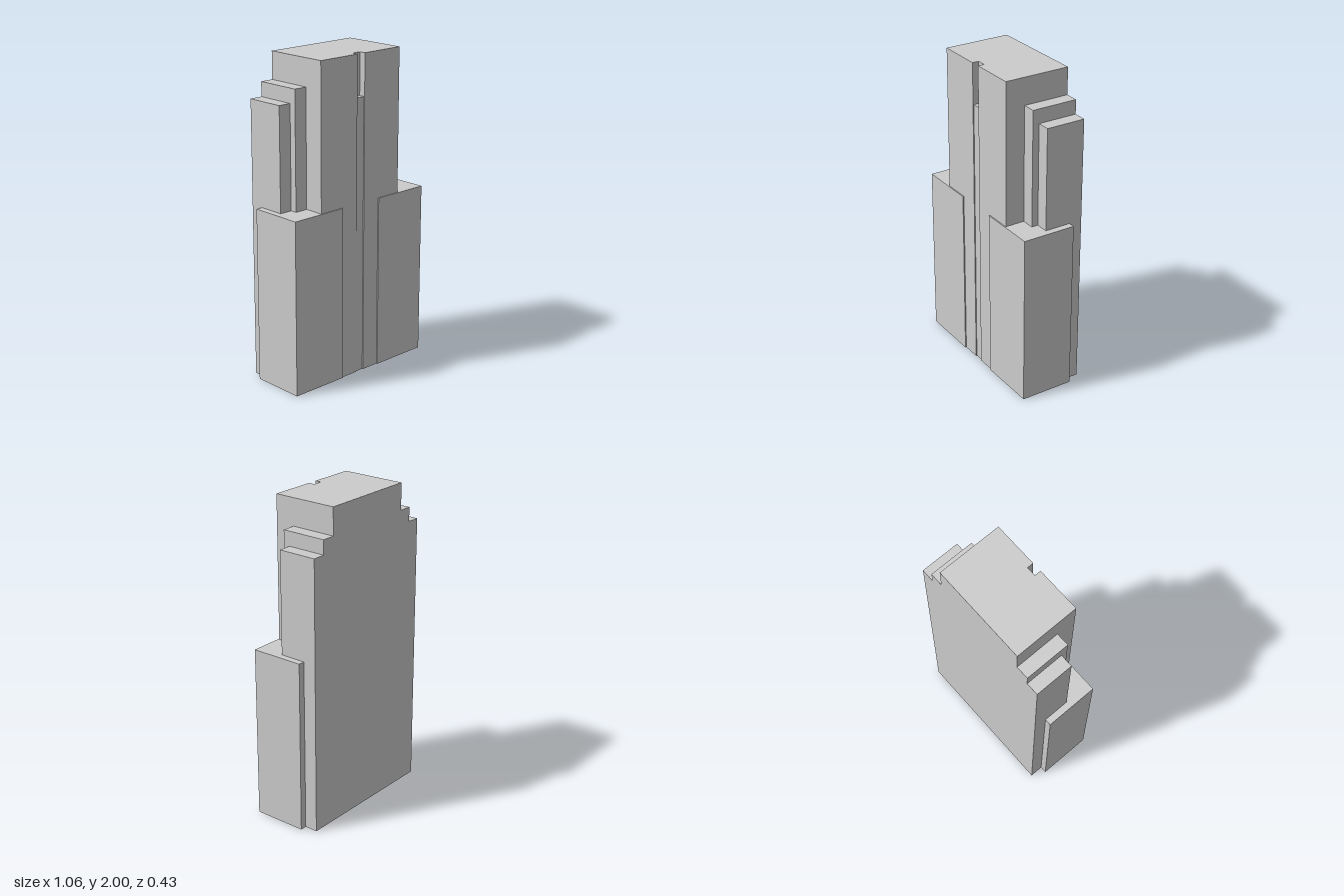
import * as THREE from 'three';

const material = new THREE.MeshStandardMaterial({ color: 0xcccccc, side: THREE.DoubleSide });

// Heights of the setbacks
const BASE = 1.095, OUTER = 1.74, INNER = 1.83, TOP = 2;
// Depths, back to front
const BACK = -0.214, WING_BACK = -0.13, OUTER_Z = 0.038, INNER_Z = 0.08;
const SLOT_Z = 0.165, PANEL_Z = 0.2, FRONT = 0.206, WING_FRONT = 0.213;
// Half widths
const SLOT = 0.03, BAY = 0.15, TOWER = 0.32, INNER_X = 0.405, OUTER_X = 0.488, WING = 0.53;

const mirror = (points) => points.map(([x, z]) => [-x, z]).reverse();

// Upright walls around a half plan (+x side, back to front) and its mirror
function walls(name, half, y0, y1) {
  const plan = [...half, ...mirror(half)];
  const pos = [];
  plan.forEach(([ax, az], i) => {
    const [bx, bz] = plan[(i + 1) % plan.length];
    pos.push(ax, y0, az, ax, y1, az, bx, y1, bz, ax, y0, az, bx, y1, bz, bx, y0, bz);
  });
  const geometry = new THREE.BufferGeometry();
  geometry.setAttribute('position', new THREE.Float32BufferAttribute(pos, 3));
  geometry.computeVertexNormals();
  const mesh = new THREE.Mesh(geometry, material);
  mesh.name = name;
  return mesh;
}

// Flat upward-facing surface at height y
function deck(name, plan, y) {
  const shape = new THREE.Shape(plan.map(([x, z]) => new THREE.Vector2(x, -z)));
  const geometry = new THREE.ShapeGeometry(shape).rotateX(-Math.PI / 2).translate(0, y, 0);
  const mesh = new THREE.Mesh(geometry, material);
  mesh.name = name;
  return mesh;
}

const rect = (x0, x1, z0, z1) => [[x0, z0], [x1, z0], [x1, z1], [x0, z1]];

export function createModel() {
  const group = new THREE.Group();
  group.name = 'steppedTower';

  const panel = [[SLOT, FRONT], [SLOT, PANEL_Z]];
  const slot = [[SLOT, FRONT], [SLOT, SLOT_Z]];
  const innerSteps = [[INNER_X, INNER_Z], [TOWER, INNER_Z], [TOWER, FRONT]];
  const crown = [[TOWER, BACK], [TOWER, FRONT], ...slot];

  // Wall tiers, open underneath
  group.add(
    walls('baseWalls', [
      [OUTER_X, BACK], [OUTER_X, WING_BACK], [WING, WING_BACK], [WING, WING_FRONT],
      [BAY, WING_FRONT], [BAY, FRONT], ...panel,
    ], 0, BASE),
    walls('shaftWalls', [
      [OUTER_X, BACK], [OUTER_X, OUTER_Z], [INNER_X, OUTER_Z], ...innerSteps, ...panel,
    ], BASE, OUTER),
    walls('shoulderWalls', [[INNER_X, BACK], ...innerSteps, ...slot], OUTER, INNER),
    walls('crownWalls', crown, INNER, TOP),
  );

  // Roof and slot floor
  group.add(
    deck('roof', [...crown, ...mirror(crown)], TOP),
    deck('slotFloor', rect(-SLOT, SLOT, SLOT_Z, PANEL_Z), OUTER),
  );

  // Setback terraces on both sides
  const terraces = [
    ['WingTerrace', [
      [OUTER_X, WING_BACK], [WING, WING_BACK], [WING, WING_FRONT], [BAY, WING_FRONT], [BAY, FRONT],
      [TOWER, FRONT], [TOWER, INNER_Z], [INNER_X, INNER_Z], [INNER_X, OUTER_Z], [OUTER_X, OUTER_Z],
    ], BASE],
    ['OuterTerrace', rect(INNER_X, OUTER_X, BACK, OUTER_Z), OUTER],
    ['InnerTerrace', rect(TOWER, INNER_X, BACK, INNER_Z), INNER],
  ];
  for (const [name, plan, y] of terraces) {
    group.add(deck('left' + name, plan, y), deck('right' + name, mirror(plan), y));
  }
  return group;
}
